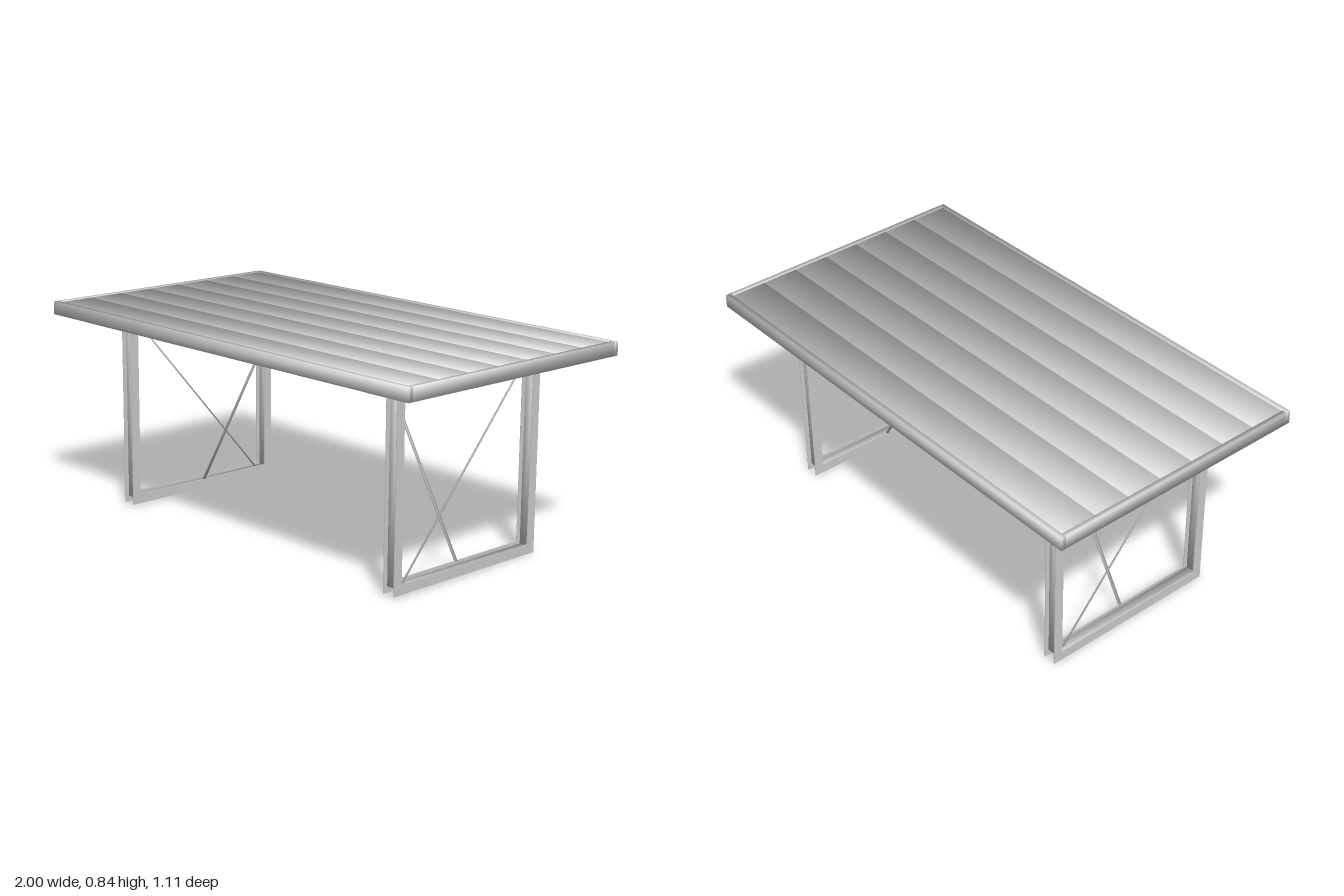
import * as THREE from 'three';

const material = new THREE.MeshStandardMaterial({ color: 0xcccccc, side: THREE.DoubleSide });

// Box with soft shared-corner normals
function softBox(name, w, h, d, x = 0, y = 0, z = 0) {
  const geo = new THREE.BoxGeometry(w, h, d);
  const p = geo.attributes.position;
  const n = geo.attributes.normal;
  const k = 1 / Math.sqrt(3);
  for (let i = 0; i < p.count; i++) {
    n.setXYZ(i, Math.sign(p.getX(i)) * k, Math.sign(p.getY(i)) * k, Math.sign(p.getZ(i)) * k);
  }
  const mesh = new THREE.Mesh(geo, material);
  mesh.name = name;
  mesh.position.set(x, y, z);
  return mesh;
}

// Straight bar running between two points
function bar(name, a, b, w, h) {
  const from = new THREE.Vector3(...a);
  const to = new THREE.Vector3(...b);
  const mesh = softBox(name, w, h, from.distanceTo(to));
  mesh.position.copy(from).add(to).multiplyScalar(0.5);
  mesh.lookAt(to);
  return mesh;
}

// Tabletop: rim around seven planks
function createTop() {
  const top = new THREE.Group();
  top.name = 'tabletop';
  const bottomY = 0.781, topY = 0.834, halfX = 1, halfZ = 0.555, rim = 0.02;
  const h = topY - bottomY;
  const midY = (topY + bottomY) / 2;
  for (const s of [-1, 1]) {
    top.add(softBox('longRim', 2 * halfX, h, rim, 0, midY, s * (halfZ - rim / 2)));
    top.add(softBox('shortRim', rim, h, 2 * (halfZ - rim), s * (halfX - rim / 2), midY, 0));
  }
  const count = 7;
  const pitch = 2 * (halfZ - rim) / count;
  for (let i = 0; i < count; i++) {
    const z = (i - (count - 1) / 2) * pitch;
    top.add(softBox('plank', 2 * (halfX - rim), h - 0.006, pitch - 0.001, 0, midY, z));
  }
  return top;
}

// U-shaped leg frame of H-section beam, with its braces
function createLegFrame() {
  const frame = new THREE.Group();
  frame.name = 'legFrame';
  const x = 0.752, width = 0.055, outer = 0.38, inner = 0.341, depth = 0.039, height = 0.784;
  const thick = 0.003;

  // Flanges: thin U-shaped plates on both faces
  const shape = new THREE.Shape([
    [-outer, 0], [outer, 0], [outer, height], [inner, height],
    [inner, depth], [-inner, depth], [-inner, height], [-outer, height],
  ].map(([u, v]) => new THREE.Vector2(u, v)));
  const plate = new THREE.ExtrudeGeometry(shape, { depth: thick, bevelEnabled: false });
  plate.rotateY(Math.PI / 2);
  for (const s of [-1, 1]) {
    const flange = new THREE.Mesh(plate, material);
    flange.name = 'flange';
    flange.position.x = x + s * (width - thick) / 2 - thick / 2;
    frame.add(flange);
  }

  // Webs joining the flanges
  const webZ = (outer + inner) / 2;
  const webY = 0.025;
  const webW = width - 2 * thick;
  for (const s of [-1, 1]) {
    frame.add(softBox('legWeb', webW, height - webY, thick, x, (height + webY) / 2, s * webZ));
  }
  frame.add(softBox('footWeb', webW, thick, 2 * webZ, x, webY, 0));

  // Cross rod within the frame and flat strut up to the tabletop
  frame.add(bar('crossRod', [x, 0.026, 0.314], [x, 0.784, -0.345], 0.005, 0.005));
  frame.add(bar('strut', [0.728, 0.035, 0], [0.29, 0.784, 0], 0.013, 0.004));
  return frame;
}

export function createModel() {
  const model = new THREE.Group();
  model.name = 'table';
  const table = new THREE.Group();
  table.name = 'tiltedTable';
  table.add(createTop());
  for (const turn of [0, Math.PI]) {
    const frame = createLegFrame();
    frame.rotation.y = turn;
    table.add(frame);
  }
  // Slight backward lean
  table.rotation.x = -0.0115;
  table.position.set(0, 0.0044, 0.0094);
  model.add(table);
  return model;
}
